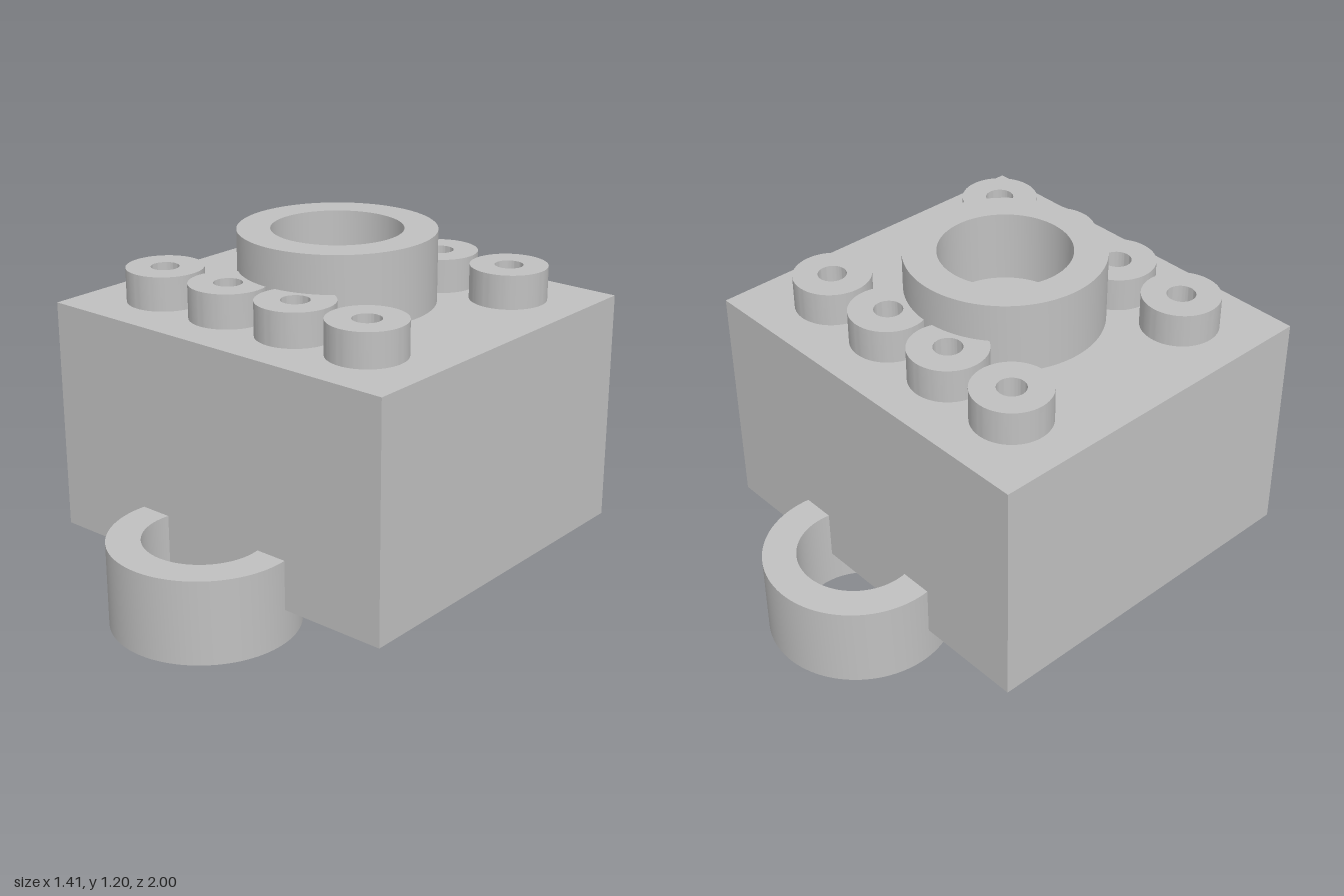
import * as THREE from 'three';
import { toCreasedNormals } from 'three/addons/utils/BufferGeometryUtils.js';

// Upright tube with flat rims, standing on y = 0
function ringGeometry(outer, inner, height) {
  const shape = new THREE.Shape();
  shape.absarc(0, 0, outer, 0, Math.PI * 2, false);
  const hole = new THREE.Path();
  hole.absarc(0, 0, inner, 0, Math.PI * 2, true);
  shape.holes.push(hole);
  const geometry = new THREE.ExtrudeGeometry(shape, { depth: height, bevelEnabled: false, curveSegments: 48 });
  geometry.rotateX(-Math.PI / 2);
  return toCreasedNormals(geometry, 0.6);
}

export function createModel() {
  const model = new THREE.Group();
  model.name = 'studdedBlock';
  const grey = new THREE.MeshStandardMaterial({ color: 0xc0c0c0 });
  grey.name = 'grey';

  const add = (name, geometry, x, y, z) => {
    const mesh = new THREE.Mesh(geometry, grey);
    mesh.name = name;
    mesh.position.set(x, y, z);
    model.add(mesh);
  };

  // Main block
  const bottom = 0.12, top = 0.943;
  add('block', new THREE.BoxGeometry(1.41, top - bottom, 1.286), 0, (top + bottom) / 2, 0);

  // Large collar in the middle of the top
  add('collar', ringGeometry(0.34, 0.226, 1.195 - top), -0.002, top, 0);

  // Two rows of four hollow studs, and a coupling ring at each end
  const stud = ringGeometry(0.134, 0.049, 1.062 - top);
  const coupling = ringGeometry(0.321, 0.206, 0.295);
  for (const side of [1, -1]) {
    for (let i = 0; i < 4; i++) add('stud', stud, -0.443 + i * 0.294, top, side * 0.383);
    add(side > 0 ? 'frontCoupling' : 'backCoupling', coupling, 0, 0, side * 0.679);
  }
  return model;
}
